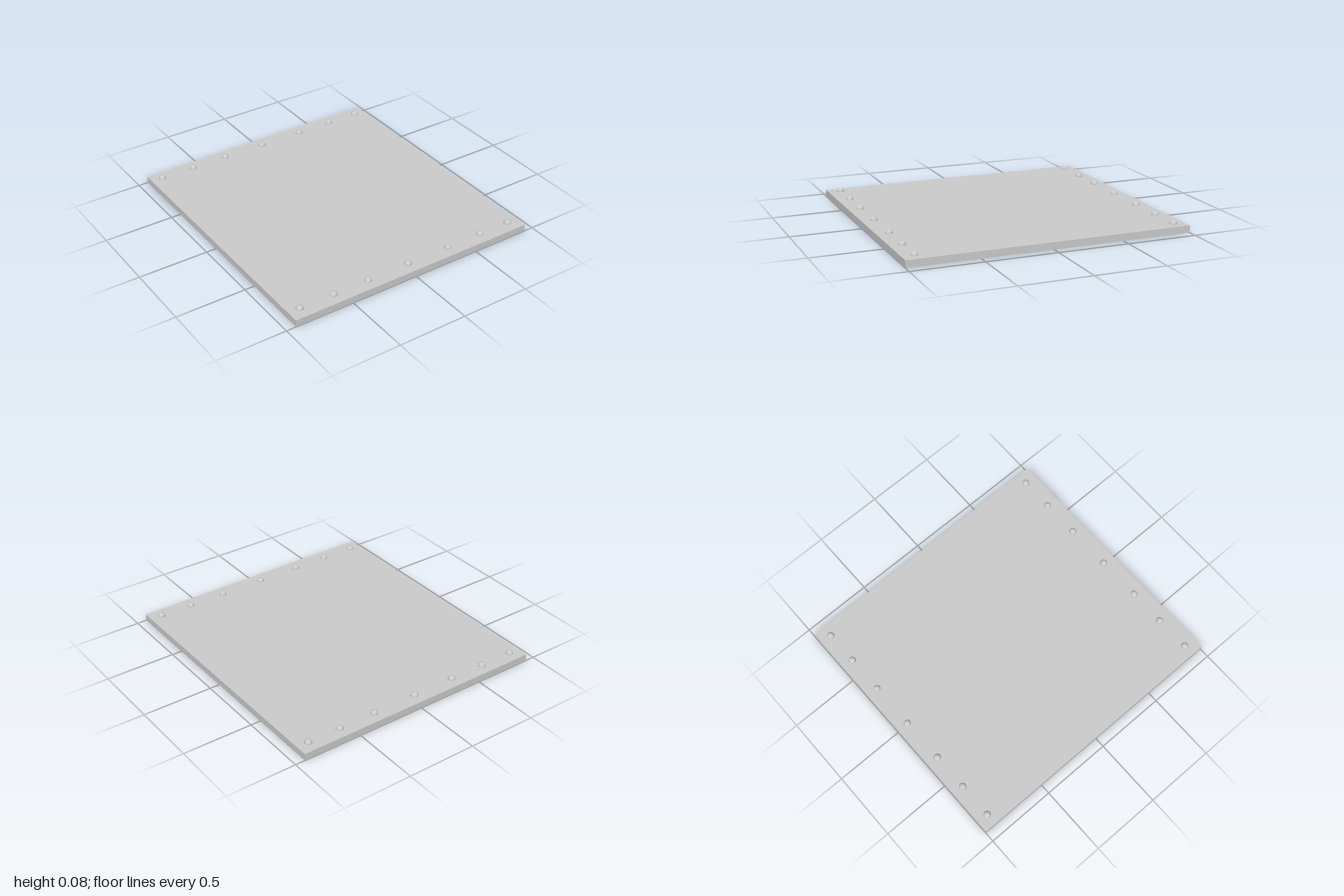
import * as THREE from 'three';

const WIDTH = 1.86, DEPTH = 2, THICKNESS = 0.05, RIVET_RADIUS = 0.026;
const RIVET_X = [-0.847, -0.593, -0.325, -0.005, 0.328, 0.603, 0.847];
const RIVET_Z = { frontRivets: 0.913, backRivets: -0.918 };

export function createModel() {
  const model = new THREE.Group();
  model.name = 'rivetedPlate';
  const material = new THREE.MeshStandardMaterial({ color: 0xcccccc });

  // Flat slab resting on the ground
  const plate = new THREE.Mesh(new THREE.BoxGeometry(WIDTH, THICKNESS, DEPTH), material);
  plate.name = 'plate';
  plate.position.y = THICKNESS / 2;
  model.add(plate);

  // Domed rivet heads in a row along the front and back edges
  const dome = new THREE.SphereGeometry(RIVET_RADIUS, 24, 10, 0, Math.PI * 2, 0, Math.PI / 2);
  for (const [name, z] of Object.entries(RIVET_Z)) {
    const row = new THREE.Group();
    row.name = name;
    for (const x of RIVET_X) {
      const rivet = new THREE.Mesh(dome, material);
      rivet.name = 'rivet';
      rivet.position.set(x, THICKNESS, z);
      row.add(rivet);
    }
    model.add(row);
  }
  return model;
}
